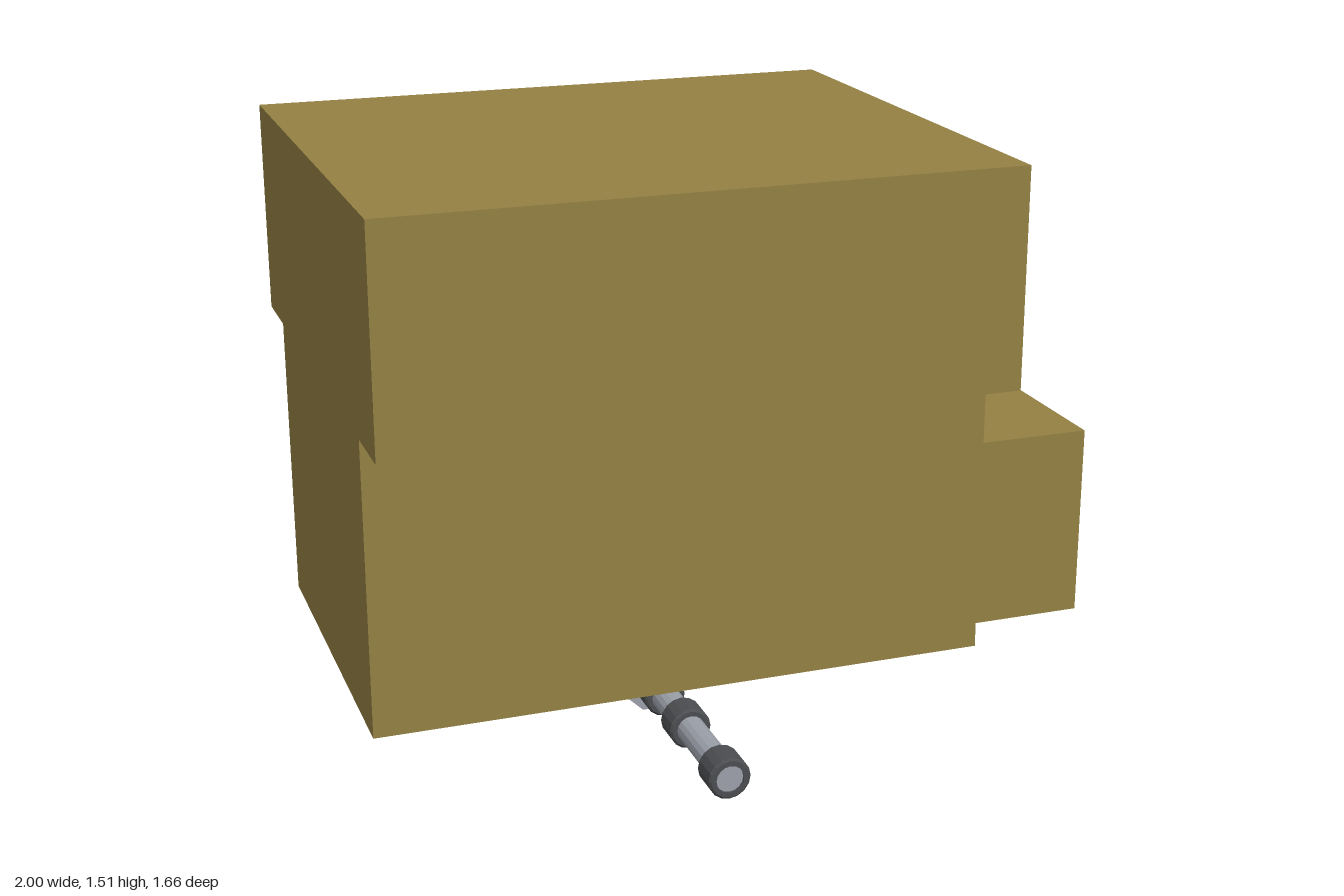
import * as THREE from 'three';

const AXLE_X = -0.19, AXLE_Y = 0.07;

function part(name, geometry, material, x = 0, y = 0, z = 0) {
  const mesh = new THREE.Mesh(geometry, material);
  mesh.name = name;
  mesh.position.set(x, y, z);
  return mesh;
}

function shapeOf(points) {
  return new THREE.Shape(points.map(([x, y]) => new THREE.Vector2(x, y)));
}

function extrude(shape, depth) {
  return new THREE.ExtrudeGeometry(shape, { depth, bevelEnabled: false, curveSegments: 8 });
}

// Ring with lightly chamfered rims, lying along z
function collarGeometry(length) {
  const r = 0.055, inner = 0.036, c = 0.006, h = length / 2;
  const profile = [
    [inner, -h], [r - c, -h], [r, -h + c], [r, h - c], [r - c, h], [inner, h], [inner, -h],
  ].map(([x, y]) => new THREE.Vector2(x, y));
  return new THREE.LatheGeometry(profile, 16).rotateX(Math.PI / 2);
}

// Pillow block: drilled flange plate plus a bearing block with chamfered lower corners
function createBracket(material) {
  const bracket = new THREE.Group();
  bracket.name = 'axleBracket';
  const width = 0.12, w = width / 2, half = 0.177;

  const plate = shapeOf([[-half, -w], [half, -w], [half, w], [-half, w]]);
  for (const x of [-0.125, 0.125]) {
    const hole = new THREE.Path();
    hole.absarc(x, 0, 0.018, 0, Math.PI * 2, true);
    plate.holes.push(hole);
  }
  bracket.add(part('bracketFlange', extrude(plate, 0.037).rotateX(-Math.PI / 2), material, 0, 0.125, 0));

  const block = shapeOf([
    [-0.035, 0], [0.035, 0], [0.077, 0.04], [0.077, 0.16], [-0.077, 0.16], [-0.077, 0.04],
  ]);
  bracket.add(part('bearingBlock', extrude(block, width), material, 0, 0, -w));
  return bracket;
}

export function createModel() {
  const model = new THREE.Group();
  model.name = 'machine';
  const tan = new THREE.MeshStandardMaterial({ color: 0x938043 });
  const steel = new THREE.MeshStandardMaterial({ color: 0x9b9fa9, flatShading: true });
  const dark = new THREE.MeshStandardMaterial({ color: 0x4b4d50, flatShading: true });

  // T-section body running along x
  const section = shapeOf([
    [-0.505, 0.162], [0.505, 0.162], [0.505, 0.937], [0.692, 0.937],
    [0.692, 1.508], [-0.692, 1.508], [-0.692, 0.937], [-0.505, 0.937],
  ]);
  model.add(part('body', extrude(section, 1.628).rotateY(Math.PI / 2), tan, -1, 0, 0));

  // Box on the left end
  model.add(part('sideBox', new THREE.BoxGeometry(0.372, 0.522, 0.744), tan, 0.814, 0.423, 0));

  // Axle
  const axle = new THREE.CylinderGeometry(0.037, 0.037, 1.65, 16).rotateX(Math.PI / 2);
  model.add(part('axle', axle, steel, AXLE_X, AXLE_Y, 0));

  // Mirrored brackets and collars
  for (const side of [-1, 1]) {
    const bracket = createBracket(steel);
    bracket.position.set(AXLE_X, 0, side * 0.2);
    model.add(bracket);
    for (const [name, z, length] of [
      ['innerCollar', 0.302, 0.085], ['middleCollar', 0.503, 0.082], ['endCollar', 0.787, 0.088],
    ]) {
      model.add(part(name, collarGeometry(length), dark, AXLE_X, AXLE_Y, side * z));
    }
  }
  return model;
}
